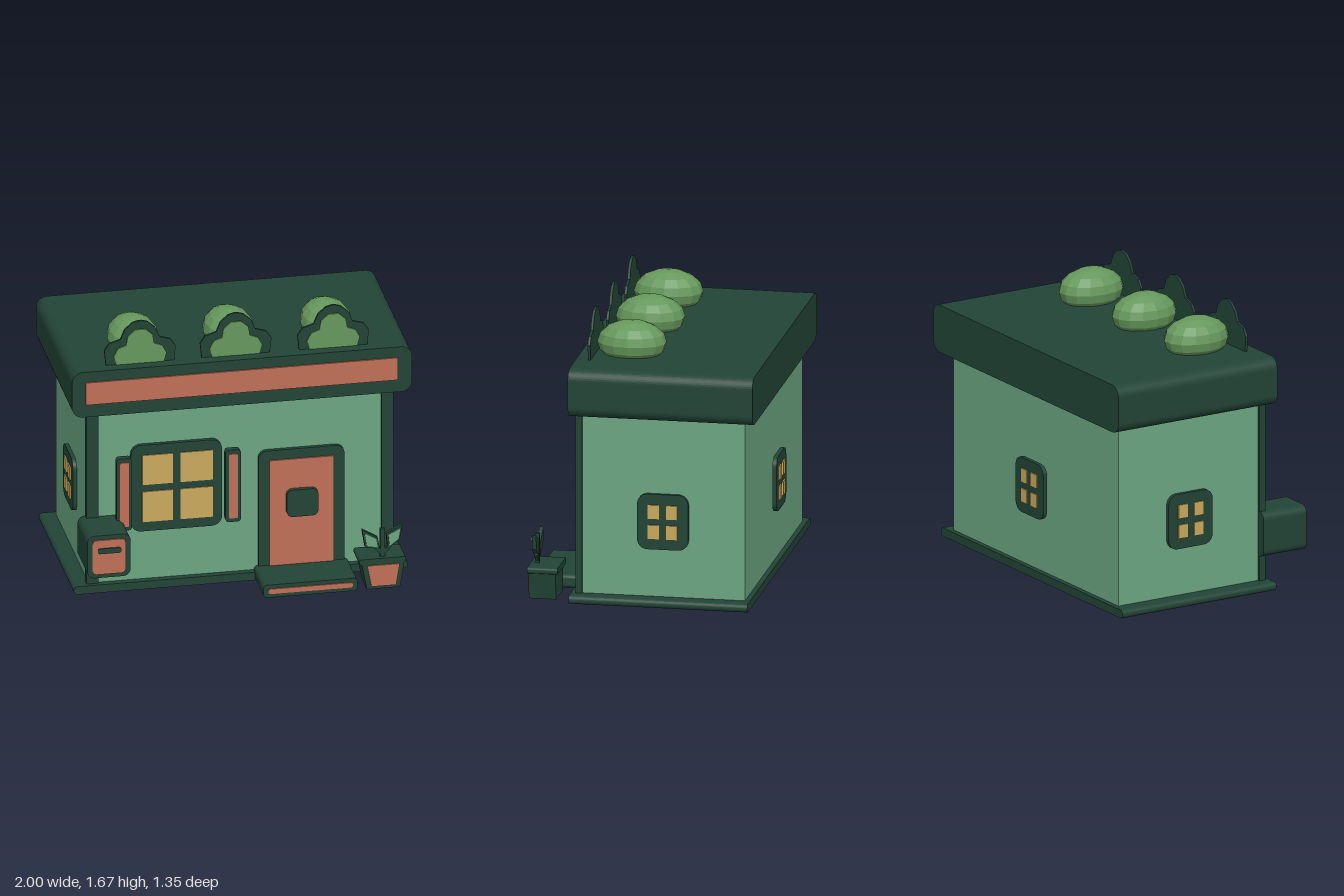
import * as THREE from 'three';

const material = (name, color) => {
  const m = new THREE.MeshStandardMaterial({ color });
  m.name = name;
  return m;
};

export function createModel() {
  const shop = new THREE.Group();
  shop.name = 'shop';
  const dark = material('dark green', 0x224436);
  const wall = material('wall green', 0x6ba681);
  const red = material('terracotta', 0xc16f57);
  const gold = material('window yellow', 0xc9a95c);
  const leaf = material('bush green', 0x66985c);
  leaf.flatShading = true;

  const add = (name, geometry, mat, parent = shop) => {
    const mesh = new THREE.Mesh(geometry, mat);
    mesh.name = name;
    parent.add(mesh);
    return mesh;
  };

  // Outline extruded from z0 to z1
  const extrude = (name, shape, z0, z1, mat, parent) => {
    const g = new THREE.ExtrudeGeometry(shape, { depth: z1 - z0, bevelEnabled: false, curveSegments: 5 });
    return add(name, g.translate(0, 0, z0), mat, parent);
  };
  const polygon = (pts) => new THREE.Shape(pts.map(([x, y]) => new THREE.Vector2(x, y)));

  // Box given by its limits, with corners rounded in the front outline
  const plate = (name, mat, x0, x1, y0, y1, z0, z1, r = 0, parent = shop) => {
    if (!r) {
      const g = new THREE.BoxGeometry(x1 - x0, y1 - y0, z1 - z0);
      return add(name, g.translate((x0 + x1) / 2, (y0 + y1) / 2, (z0 + z1) / 2), mat, parent);
    }
    const s = new THREE.Shape();
    s.moveTo(x0 + r, y0);
    s.absarc(x1 - r, y0 + r, r, -Math.PI / 2, 0);
    s.absarc(x1 - r, y1 - r, r, 0, Math.PI / 2);
    s.absarc(x0 + r, y1 - r, r, Math.PI / 2, Math.PI);
    s.absarc(x0 + r, y0 + r, r, Math.PI, Math.PI * 1.5);
    return extrude(name, s, z0, z1, mat, parent);
  };

  // Building shell
  plate('base', dark, -0.99, 0.975, 0, 0.05, -0.64, 0.41, 0.024);
  plate('walls', wall, -0.895, 0.885, 0.05, 1.12, -0.61, 0.345);
  plate('frontWall', wall, -0.84, 0.825, 0.05, 1.12, 0.345, 0.37);
  plate('rightPost', dark, -0.91, -0.84, 0.05, 1.12, 0.345, 0.385);
  plate('leftPost', dark, 0.825, 0.895, 0.05, 1.12, 0.345, 0.385);
  plate('roof', dark, -1, 1, 1.12, 1.405, -0.675, 0.41, 0.065);
  plate('signBand', red, -0.92, 0.915, 1.2, 1.34, 0.41, 0.419);

  // Front window with four panes
  plate('frontWindowFrame', dark, -0.65, -0.115, 0.36, 0.905, 0.37, 0.394, 0.06);
  for (const [x0, x1] of [[-0.585, -0.403], [-0.36, -0.168]])
    for (const [y0, y1] of [[0.42, 0.612], [0.655, 0.842]])
      plate('frontWindowPane', gold, x0, x1, y0, y1, 0.394, 0.4);

  // Shutters
  for (const x of [-0.7, -0.06]) {
    plate('shutter', dark, x - 0.045, x + 0.045, 0.4, 0.855, 0.41, 0.45, 0.02);
    plate('shutterPanel', red, x - 0.026, x + 0.026, 0.425, 0.832, 0.45, 0.457, 0.008);
  }

  // Door and step
  plate('doorFrame', dark, 0.1, 0.605, 0.04, 0.805, 0.37, 0.394, 0.05);
  plate('doorPanel', red, 0.163, 0.543, 0.08, 0.745, 0.394, 0.403);
  plate('doorWindow', dark, 0.26, 0.445, 0.39, 0.56, 0.4, 0.43, 0.035);
  plate('step', dark, 0.075, 0.63, 0, 0.08, 0.38, 0.665, 0.025);
  plate('stepStripe', red, 0.105, 0.6, 0.025, 0.056, 0.665, 0.672, 0.012);

  // Small windows on the sides and back
  const smallWindow = (name, x, y, z, turn) => {
    const g = new THREE.Group();
    g.name = name;
    plate('smallFrame', dark, -0.15, 0.15, -0.165, 0.165, 0, 0.025, 0.06, g);
    for (const sx of [-1, 1])
      for (const sy of [-1, 1]) {
        const cx = sx * 0.053, cy = sy * 0.06;
        plate('smallPane', gold, cx - 0.033, cx + 0.033, cy - 0.041, cy + 0.041, 0.025, 0.033, 0, g);
      }
    g.position.set(x, y, z);
    g.rotation.y = turn;
    shop.add(g);
  };
  smallWindow('leftWindow', 0.88, 0.5, -0.13, Math.PI / 2);
  smallWindow('rightWindow', -0.893, 0.5, -0.13, -Math.PI / 2);
  smallWindow('backWindow', -0.007, 0.54, -0.63, Math.PI);

  // Mailbox
  plate('mailbox', dark, -0.955, -0.7, 0.2, 0.467, 0.345, 0.638, 0.045);
  plate('mailboxFace', red, -0.925, -0.73, 0.225, 0.44, 0.638, 0.646, 0.025);
  plate('mailboxSlot', dark, -0.895, -0.757, 0.357, 0.39, 0.646, 0.654, 0.014);

  // Potted plant
  extrude('pot', polygon([[0.685, 0], [0.88, 0], [0.905, 0.158], [0.655, 0.158]]), 0.5, 0.66, dark);
  extrude('potPanel', polygon([[0.712, 0.018], [0.855, 0.018], [0.877, 0.15], [0.688, 0.15]]), 0.66, 0.668, red);
  plate('potRim', dark, 0.64, 0.915, 0.155, 0.191, 0.487, 0.664, 0.014);
  plate('stem', dark, 0.768, 0.796, 0.18, 0.365, 0.615, 0.64);
  const leaves = [
    [[0.66, 0.37], [0.752, 0.315], [0.765, 0.24], [0.678, 0.258]],
    [[0.803, 0.335], [0.897, 0.382], [0.882, 0.292], [0.812, 0.238]],
  ];
  for (const pts of leaves) {
    const cx = pts.reduce((s, p) => s + p[0], 0) / 4;
    const cy = pts.reduce((s, p) => s + p[1], 0) / 4;
    extrude('leafEdge', polygon(pts), 0.615, 0.64, dark);
    extrude('leafFace', polygon(pts.map(([x, y]) => [cx + (x - cx) * 0.74, cy + (y - cy) * 0.74])), 0.64, 0.646, wall);
    // Twig joining the leaf to the stem
    const side = Math.sign(cx - 0.782);
    extrude('twig', polygon([[0.782, 0.19], [0.782, 0.222], [0.782 + side * 0.04, 0.27], [0.782 + side * 0.05, 0.245]]), 0.617, 0.638, dark);
  }

  // Roof bushes, each with a cut-out board in front
  const mirror = (half) => polygon([...half, ...half.map(([x, y]) => [-x, y]).reverse()]);
  const outer = mirror([[-0.2, 1.4], [-0.21, 1.495], [-0.18, 1.54], [-0.115, 1.56], [-0.09, 1.62], [-0.045, 1.66], [-0.01, 1.67]]);
  const inner = mirror([[-0.14, 1.406], [-0.155, 1.46], [-0.13, 1.507], [-0.082, 1.525], [-0.073, 1.58], [-0.03, 1.618]]);
  for (const x of [-0.586, -0.023, 0.55]) {
    extrude('bushBoard', outer, 0.323, 0.338, dark).position.x = x;
    extrude('bushBoardFace', inner, 0.338, 0.346, leaf).position.x = x;
    const bush = add('bush', new THREE.SphereGeometry(1, 14, 8), leaf);
    bush.scale.set(0.15, 0.128, 0.203);
    bush.position.set(x, 1.475, 0.117);
  }
  return shop;
}
